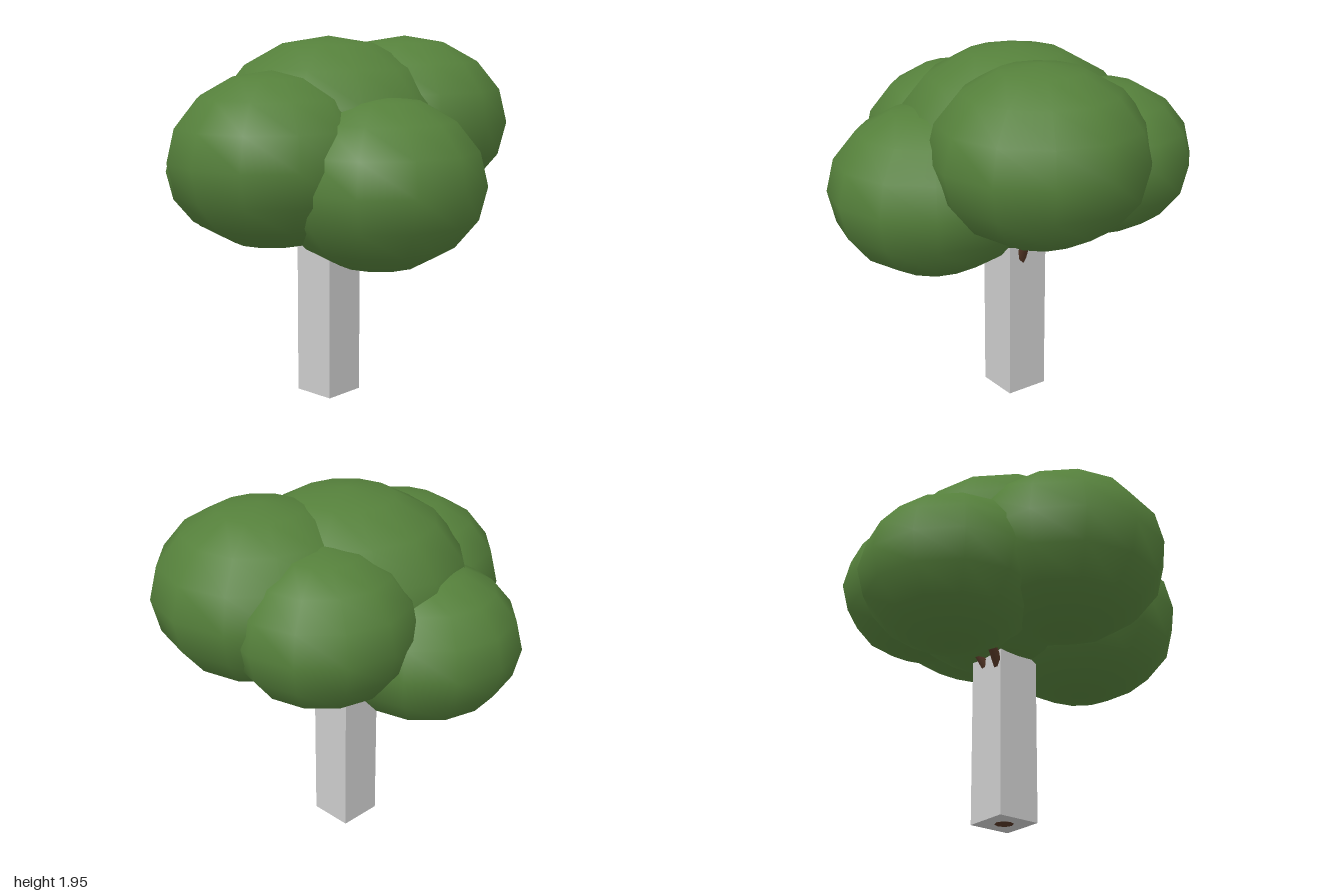
import * as THREE from 'three';

export function createModel() {
  const tree = new THREE.Group();
  tree.name = 'tree';

  const leafGreen = new THREE.MeshStandardMaterial({ name: 'leaf green', color: 0x55803b });
  const trunkGrey = new THREE.MeshStandardMaterial({ name: 'trunk grey', color: 0xcccccc });
  const barkBrown = new THREE.MeshStandardMaterial({ name: 'bark brown', color: 0x573827 });

  const add = (name, geometry, material, x, y, z) => {
    const mesh = new THREE.Mesh(geometry, material);
    mesh.name = name;
    mesh.position.set(x, y, z);
    tree.add(mesh);
    return mesh;
  };

  // Foliage: squashed low-poly spheres [name, x, y, z, radius, half height]
  const clumps = [
    ['crownClump', -0.03, 1.41, 0, 0.66, 0.54],
    ['frontClump', 0.01, 1.34, 0.455, 0.54, 0.45],
    ['leftClump', 0.42, 1.225, 0.105, 0.55, 0.45],
    ['rightClump', -0.47, 1.215, 0.13, 0.5, 0.405],
    ['backClump', 0.13, 1.485, -0.435, 0.565, 0.46],
    ['backRightClump', -0.27, 1.41, -0.4, 0.48, 0.4],
  ];
  const ball = new THREE.SphereGeometry(1, 12, 8);
  for (const [name, x, y, z, r, h] of clumps) {
    add(name, ball, leafGreen, x, y, z).scale.set(r, h, r);
  }

  // Square trunk running up into the foliage
  add('trunk', new THREE.BoxGeometry(0.24, 0.95, 0.24), trunkGrey, -0.03, 0.475, 0);

  // Dark core showing at the foot of the trunk
  add('trunkCore', new THREE.CylinderGeometry(0.05, 0.05, 0.006, 8), barkBrown, -0.03, 0.002, 0);

  // Branches leaving the top of the trunk towards the clumps
  const up = new THREE.Vector3(0, 1, 0);
  const branch = (name, from, to) => {
    const a = new THREE.Vector3(...from);
    const b = new THREE.Vector3(...to);
    const dir = b.clone().sub(a);
    const mid = a.clone().add(b).multiplyScalar(0.5);
    const geometry = new THREE.CylinderGeometry(0.02, 0.032, dir.length(), 6);
    const mesh = add(name, geometry, barkBrown, mid.x, mid.y, mid.z);
    mesh.quaternion.setFromUnitVectors(up, dir.normalize());
  };
  branch('leftBranch', [-0.03, 0.66, 0.02], [0.24, 1.04, 0.06]);
  branch('rightBranch', [-0.03, 0.7, 0.04], [-0.28, 1.0, 0.14]);
  branch('backRightBranch', [-0.03, 0.7, 0], [-0.25, 1.03, -0.06]);
  branch('backBranch', [-0.03, 0.63, 0], [0.05, 1.05, -0.26]);

  return tree;
}
